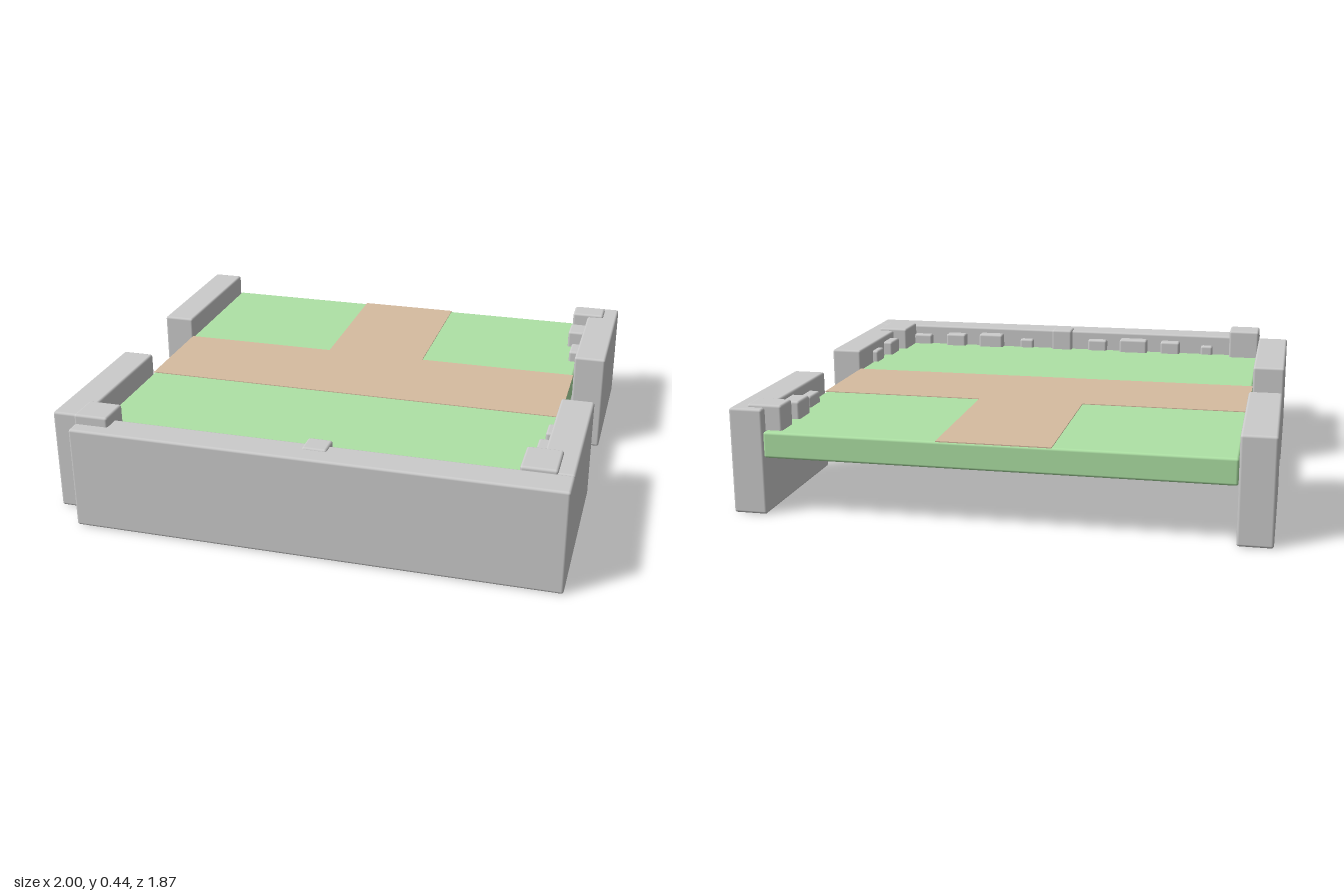
import * as THREE from 'three';
import { RoundedBoxGeometry } from 'three/addons/geometries/RoundedBoxGeometry.js';

const stone = new THREE.MeshStandardMaterial({ color: 0xcccccc });
const grass = new THREE.MeshStandardMaterial({ color: 0xaee2a5 });
const dirt = new THREE.MeshStandardMaterial({ color: 0xd6bca0 });

const TOP = 0.32;     // ground surface
const WALL = 0.405;   // wall height

// Soft-edged block given by its limits on each axis
function block(name, material, [x0, x1], [y0, y1], [z0, z1], radius = 0.01) {
  const geometry = new RoundedBoxGeometry(x1 - x0, y1 - y0, z1 - z0, 2, radius);
  const mesh = new THREE.Mesh(geometry, material);
  mesh.position.set((x0 + x1) / 2, (y0 + y1) / 2, (z0 + z1) / 2);
  mesh.name = name;
  return mesh;
}

export function createModel() {
  const model = new THREE.Group();
  model.name = 'walledGarden';

  // Lawn slab, held between the walls
  model.add(block('lawn', grass, [-0.87, 0.87], [0.22, TOP], [-0.935, 0.8]));

  // T-shaped dirt path laid on the lawn
  const outline = [
    [-0.87, -0.15], [0.87, -0.15], [0.87, 0.29], [0.21, 0.29],
    [0.21, 0.935], [-0.215, 0.935], [-0.215, 0.29], [-0.87, 0.29],
  ].map(([x, y]) => new THREE.Vector2(x, y));
  const path = new THREE.Mesh(
    new THREE.ExtrudeGeometry(new THREE.Shape(outline), { depth: 0.004, bevelEnabled: false }), dirt);
  path.name = 'path';
  path.rotation.x = -Math.PI / 2;
  path.position.y = TOP - 0.001;
  model.add(path);

  // Side walls, with a gateway where the path runs out
  for (const [side, x] of [['left', [0.87, 1]], ['right', [-1, -0.87]]]) {
    model.add(block(side + 'FrontWall', stone, x, [0, WALL], [0.15, 0.8]));
    model.add(block(side + 'BackWall', stone, x, [0, WALL], [-0.935, -0.29]));
  }
  model.add(block('frontWall', stone, [-0.87, 1], [0, WALL], [0.8, 0.93]));

  // Large stones that rise above the walls: x, z, top
  const large = [
    [[-0.87, -0.735], [0.74, 0.875], 0.443],
    [[0.02, 0.115], [0.765, 0.855], 0.412],
    [[0.805, 0.94], [0.63, 0.8], 0.416],
    [[0.805, 0.94], [-0.905, -0.8], 0.416],
  ];
  for (const [x, z, top] of large) {
    model.add(block('largeStone', stone, x, [TOP - 0.01, top], z));
  }

  // Small stones along the front wall: x start, x end, inner z, top
  const frontRow = [
    [-0.655, -0.6, 0.775, 0.36], [-0.5, -0.41, 0.76, 0.375],
    [-0.345, -0.215, 0.755, 0.38], [-0.15, -0.06, 0.77, 0.37],
    [0.21, 0.275, 0.775, 0.36], [0.36, 0.475, 0.755, 0.38],
    [0.545, 0.64, 0.755, 0.375], [0.72, 0.81, 0.77, 0.365],
  ];
  for (const [x0, x1, z, top] of frontRow) {
    model.add(block('frontWallStone', stone, [x0, x1], [TOP - 0.01, top], [z, 0.82]));
  }

  // Small stones along the left walls: z start, z end, inner x, top
  const leftRow = [
    [0.32, 0.41, 0.845, 0.37], [0.48, 0.595, 0.83, 0.38],
    [-0.735, -0.625, 0.805, 0.39], [-0.555, -0.45, 0.83, 0.365],
  ];
  for (const [z0, z1, x, top] of leftRow) {
    model.add(block('leftWallStone', stone, [x, 0.89], [TOP - 0.01, top], [z0, z1]));
  }
  return model;
}
